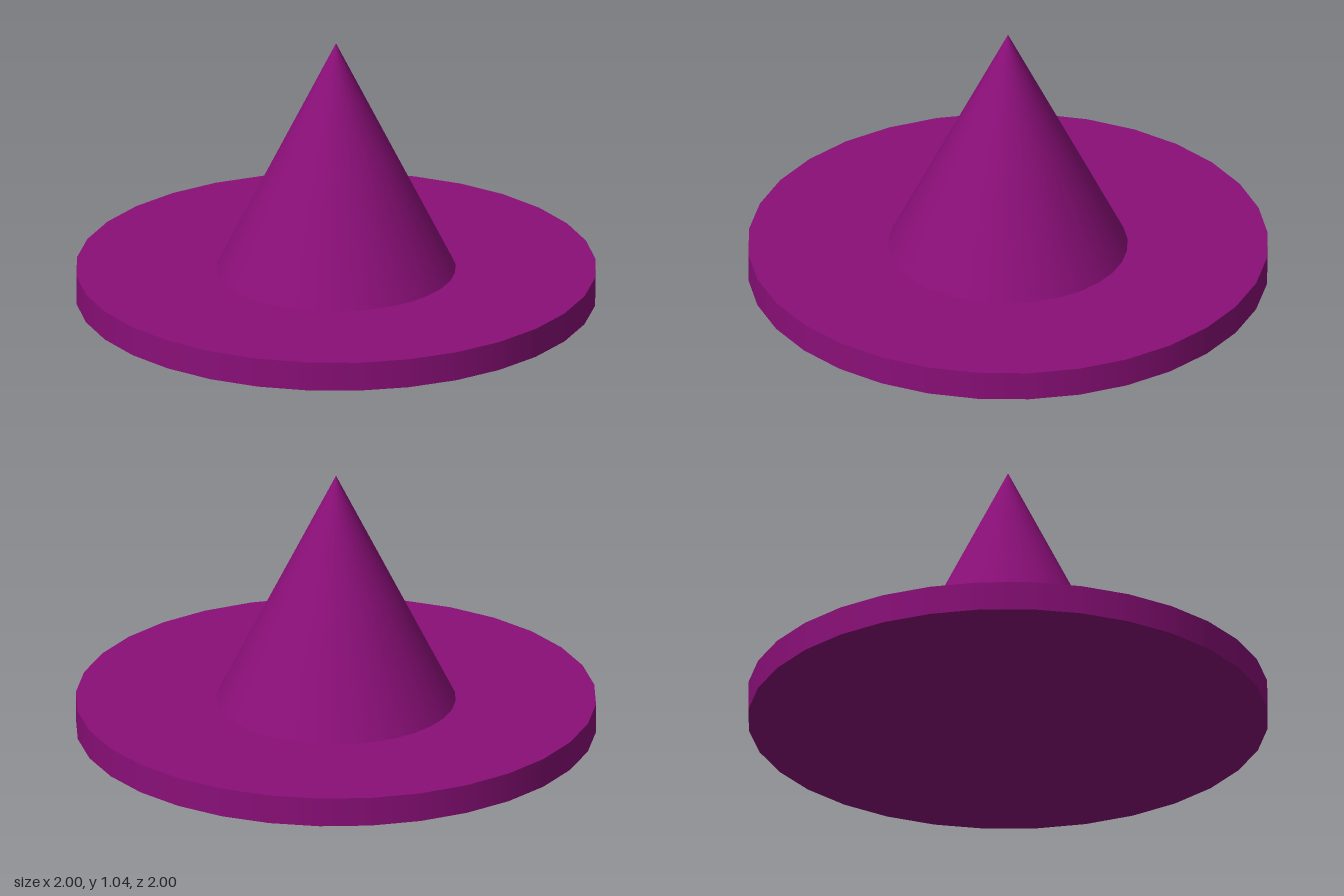
import * as THREE from 'three';

const SIDES = 32;
const BRIM_HEIGHT = 0.115;
const TOTAL_HEIGHT = 1.04;

export function createModel() {
  const model = new THREE.Group();
  model.name = 'pointedHat';
  const purple = new THREE.MeshStandardMaterial({ color: 0x8a0f78 });

  // Flat round brim standing on the ground
  const brim = new THREE.Mesh(new THREE.CylinderGeometry(1, 1, BRIM_HEIGHT, SIDES), purple);
  brim.name = 'brim';
  brim.position.y = BRIM_HEIGHT / 2;
  model.add(brim);

  // Pointed crown rising from the middle of the brim
  const crownHeight = TOTAL_HEIGHT - BRIM_HEIGHT;
  const crown = new THREE.Mesh(new THREE.ConeGeometry(0.46, crownHeight, SIDES, 2, true), purple);
  crown.name = 'crown';
  crown.position.y = BRIM_HEIGHT + crownHeight / 2;
  model.add(crown);

  return model;
}
